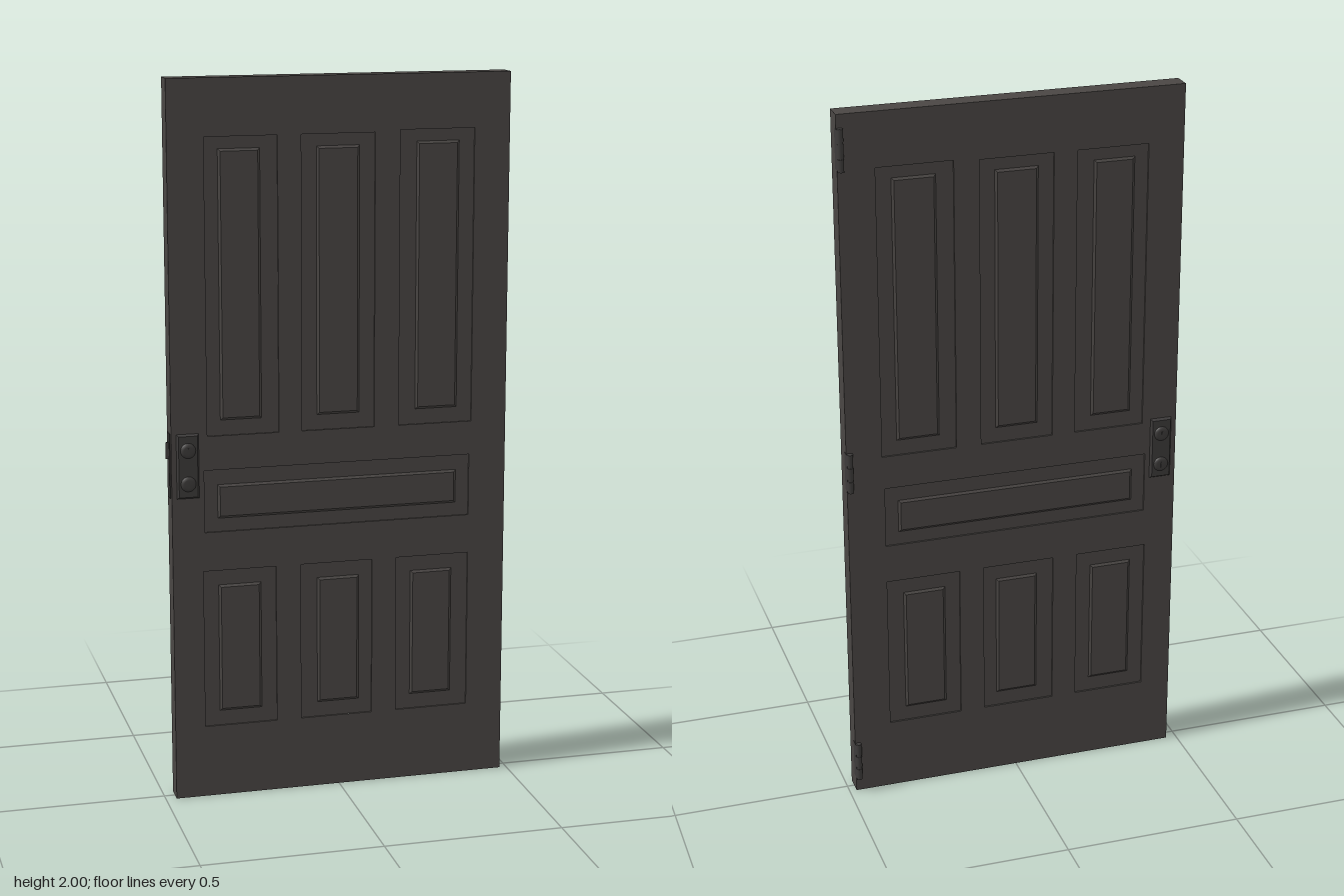
import * as THREE from 'three';

const doorMat = new THREE.MeshStandardMaterial({ name: 'dark painted wood', color: 0x4a4644 });
const metalMat = new THREE.MeshStandardMaterial({ name: 'dark metal', color: 0x3d3b3a });

const HALF = 0.028; // half the thickness of the slab

// Panels: outer [x0, x1, y0, y1], then inner [x0, x1, y0, y1]
const panels = [
  [[-0.37, -0.17, 1.035, 1.845], [-0.335, -0.215, 1.075, 1.815]],
  [[-0.105, 0.1, 1.035, 1.845], [-0.065, 0.06, 1.075, 1.815]],
  [[0.17, 0.38, 1.035, 1.85], [0.215, 0.34, 1.075, 1.82]],
  [[-0.38, 0.375, 0.765, 0.94], [-0.345, 0.34, 0.8, 0.9]],
  [[-0.385, -0.18, 0.205, 0.655], [-0.345, -0.22, 0.245, 0.615]],
  [[-0.11, 0.095, 0.205, 0.655], [-0.065, 0.06, 0.245, 0.615]],
  [[0.165, 0.375, 0.205, 0.655], [0.205, 0.33, 0.245, 0.615]],
];

function add(parent, name, geometry, material, x = 0, y = 0, z = 0) {
  const mesh = new THREE.Mesh(geometry, material);
  mesh.name = name;
  mesh.position.set(x, y, z);
  parent.add(mesh);
  return mesh;
}

function rect(target, [x0, x1, y0, y1]) {
  target.moveTo(x0, y0).lineTo(x1, y0).lineTo(x1, y1).lineTo(x0, y1).closePath();
  return target;
}

// Box whose +z face is drawn in by an inset on all four sides
function bevelBox(w, h, d, inset) {
  const g = new THREE.BoxGeometry(w, h, d);
  const p = g.attributes.position;
  for (let i = 0; i < p.count; i++) {
    if (p.getZ(i) < 0) continue;
    p.setX(i, p.getX(i) - Math.sign(p.getX(i)) * inset);
    p.setY(i, p.getY(i) - Math.sign(p.getY(i)) * inset);
  }
  g.computeVertexNormals();
  return g;
}

// Plate, two round cylinders and a keyway, facing +z
function lockFace() {
  const g = new THREE.Group();
  add(g, 'lockPlate', bevelBox(0.062, 0.18, 0.008, 0.005), metalMat, 0, 0, HALF + 0.004);
  for (const y of [0.045, -0.048]) {
    const profile = [[0.021, 0], [0.021, 0.003], [0.017, 0.007], [0.012, 0.008], [0, 0.008]]
      .map(([r, h]) => new THREE.Vector2(r, h));
    const rose = add(g, 'lockRose', new THREE.LatheGeometry(profile, 24), metalMat, 0, y, HALF + 0.006);
    rose.rotation.x = Math.PI / 2;
    add(g, 'keyway', new THREE.BoxGeometry(0.004, 0.016, 0.003), metalMat, 0, y, HALF + 0.014);
  }
  return g;
}

export function createModel() {
  const model = new THREE.Group();
  model.name = 'door';

  // Frame of stiles and rails, cut through at every panel
  const shape = rect(new THREE.Shape(), [-0.47, 0.48, 0, 2]);
  for (const [outer] of panels) shape.holes.push(rect(new THREE.Path(), outer));
  const frame = new THREE.ExtrudeGeometry(shape, { depth: HALF * 2, bevelEnabled: false });
  add(model, 'doorFrame', frame, doorMat, 0, 0, -HALF);

  // Sunken panels with a raised, bevelled field on both faces
  for (const [o, i] of panels) {
    const sunk = HALF - 0.005;
    add(model, 'panel', new THREE.BoxGeometry(o[1] - o[0], o[3] - o[2], sunk * 2), doorMat,
      (o[0] + o[1]) / 2, (o[2] + o[3]) / 2, 0);
    for (const side of [1, -1]) {
      const field = bevelBox(i[1] - i[0], i[3] - i[2], 0.007, 0.009);
      const mesh = add(model, 'panelField', field, doorMat,
        (i[0] + i[1]) / 2, (i[2] + i[3]) / 2, side * (sunk + 0.0015));
      if (side < 0) mesh.rotation.y = Math.PI;
    }
  }

  // Lock on both faces, with the latch on the edge
  for (const side of [1, -1]) {
    const lock = lockFace();
    lock.name = side > 0 ? 'frontLock' : 'backLock';
    lock.position.set(-0.425, 0.955, 0);
    if (side < 0) lock.rotation.y = Math.PI;
    model.add(lock);
  }
  add(model, 'edgePlate', new THREE.BoxGeometry(0.004, 0.18, 0.03), metalMat, -0.471, 0.955, 0);
  const wedge = new THREE.Shape();
  wedge.moveTo(-0.47, -0.01).lineTo(-0.47, 0.01).lineTo(-0.482, 0.008).closePath();
  const latch = new THREE.ExtrudeGeometry(wedge, { depth: 0.045, bevelEnabled: false });
  add(model, 'latch', latch, metalMat, 0, 1.02, 0).rotation.x = Math.PI / 2;

  // Three hinges on the back edge
  for (const y of [1.907, 1.003, 0.1]) {
    const hinge = new THREE.Group();
    hinge.name = 'hinge';
    hinge.position.set(0.472, y, -0.037);
    add(hinge, 'hingePin', new THREE.CylinderGeometry(0.0075, 0.0075, 0.115, 16), metalMat);
    for (const ky of [-0.04, 0, 0.04]) {
      add(hinge, 'hingeKnuckle', new THREE.CylinderGeometry(0.0085, 0.0085, 0.034, 16), metalMat, 0, ky, 0);
    }
    add(hinge, 'hingeLeaf', new THREE.BoxGeometry(0.004, 0.11, 0.026), metalMat, 0.0065, 0, 0.013);
    model.add(hinge);
  }
  return model;
}
